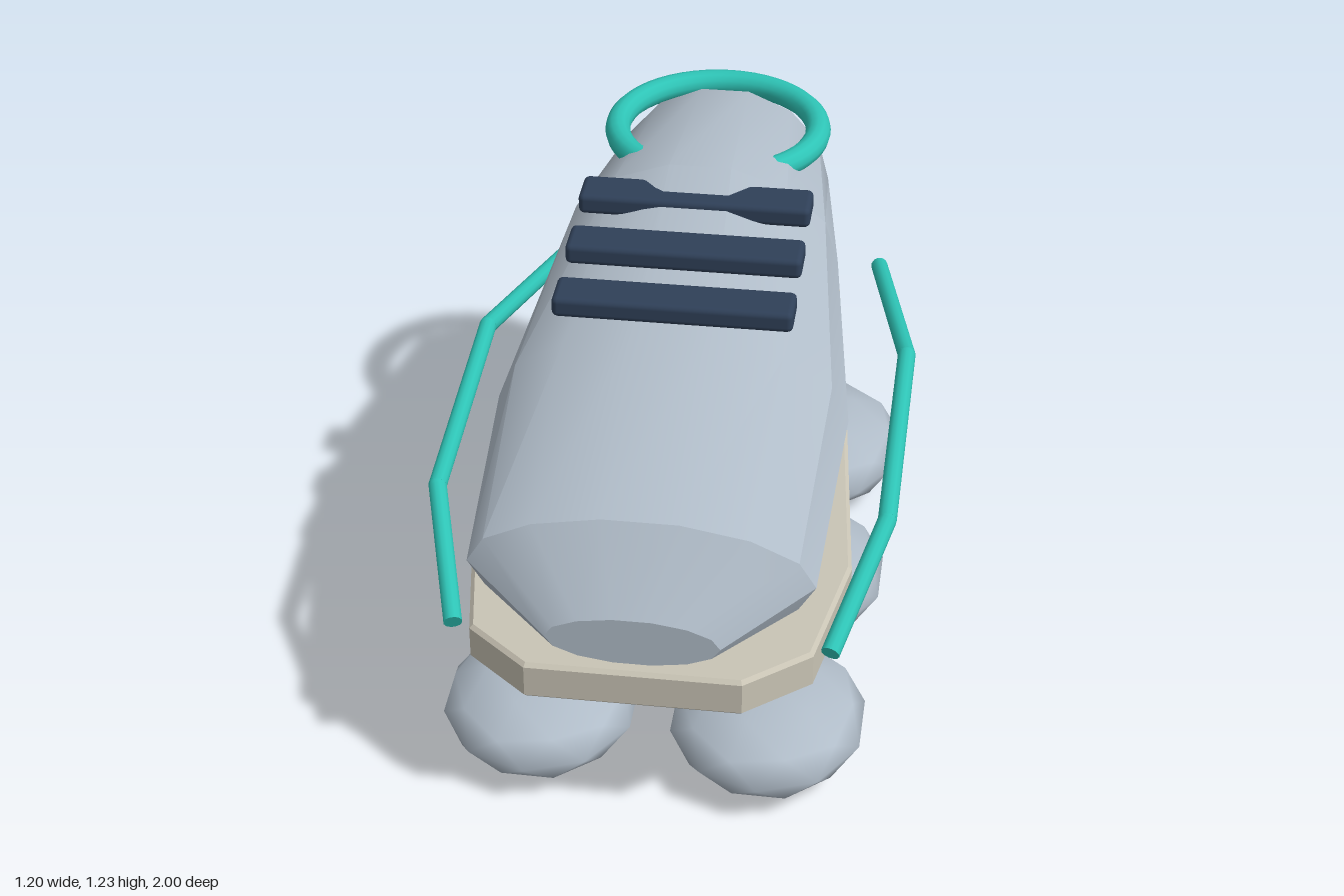
import * as THREE from 'three';
import { toCreasedNormals } from 'three/addons/utils/BufferGeometryUtils.js';
import { RoundedBoxGeometry } from 'three/addons/geometries/RoundedBoxGeometry.js';

function material(name, color) {
  const m = new THREE.MeshStandardMaterial({ color });
  m.name = name;
  return m;
}

// Closed hull through elliptical rings [z, bottom, top, halfWidth], front to back
function loft(rings, sides) {
  const pos = [], index = [];
  const flat = Math.cos(Math.PI / sides);
  for (const [z, y0, y1, rx] of rings) {
    for (let j = 0; j < sides; j++) {
      const a = (j / sides) * Math.PI * 2;
      pos.push(rx * Math.cos(a), (y0 + y1) / 2 + ((y1 - y0) / 2 / flat) * Math.sin(a), z);
    }
  }
  const last = rings.length - 1;
  for (const r of [rings[0], rings[last]]) pos.push(0, (r[1] + r[2]) / 2, r[0]);
  const c0 = rings.length * sides, c1 = c0 + 1;
  for (let j = 0; j < sides; j++) {
    const k = (j + 1) % sides;
    for (let i = 0; i < last; i++) {
      const a = i * sides + j, b = i * sides + k;
      index.push(a, a + sides, b, b, a + sides, b + sides);
    }
    index.push(c0, j, k, c1, last * sides + k, last * sides + j);
  }
  const g = new THREE.BufferGeometry();
  g.setAttribute('position', new THREE.Float32BufferAttribute(pos, 3));
  g.setIndex(index);
  return toCreasedNormals(g, THREE.MathUtils.degToRad(30));
}

export function createModel() {
  const model = new THREE.Group();
  const grey = material('blue grey', 0xb0bcc8);
  const cream = material('warm cream', 0xc9c4b5);
  const teal = material('teal', 0x2ec4b6);
  const navy = material('navy', 0x2f4058);

  function add(name, geometry, mat, x = 0, y = 0, z = 0, parent = model) {
    const mesh = new THREE.Mesh(geometry, mat);
    mesh.name = name;
    mesh.position.set(x, y, z);
    parent.add(mesh);
    return mesh;
  }

  // Shoe upper
  add('upper', loft([
    [1, 0.56, 0.69, 0.215],
    [0.85, 0.565, 0.875, 0.43],
    [0.27, 0.6, 1.04, 0.455],
    [-0.28, 0.7, 1.23, 0.375],
    [-0.84, 0.64, 1.17, 0.3],
    [-1, 0.6, 1.0, 0.235],
  ], 14), grey);

  // Sole plate with a fine bevel
  const bevel = 0.01;
  const half = [[0.265, 0.99], [0.42, 0.86], [0.483, 0.5], [0.4, -0.3], [0.33, -0.89], [0.265, -0.99]];
  const outline = [...half, ...half.map(([x, z]) => [-x, z]).reverse()];
  const soleShape = new THREE.Shape(outline.map(([x, z]) => new THREE.Vector2(x, -z)));
  const soleGeo = new THREE.ExtrudeGeometry(soleShape, {
    depth: 0.105 - 2 * bevel, bevelEnabled: true, bevelSize: bevel, bevelThickness: bevel, bevelSegments: 1,
  });
  soleGeo.rotateX(-Math.PI / 2);
  add('sole', soleGeo, cream, 0, 0.425 + bevel, 0);

  // Squashed wheels, pole pointing up
  const wheelGeo = new THREE.IcosahedronGeometry(1, 1);
  wheelGeo.rotateZ(Math.atan(2 / (1 + Math.sqrt(5))));
  wheelGeo.scale(0.258, 0.118, 0.3);
  const postGeo = new THREE.CylinderGeometry(0.033, 0.033, 0.27, 16);
  for (const side of [1, -1]) {
    for (const z of [0.625, -0.01, -0.645]) add('wheel', wheelGeo, grey, side * 0.298, 0.118, z);
    for (const z of [0.54, -0.62]) add('post', postGeo, teal, side * 0.295, 0.31, z);
  }

  // Bent side rails
  const r = 0.024;
  const railPoints = [[0.47, 0.535, 0.865], [0.577, 0.685, 0.5], [0.577, 0.74, -0.19], [0.455, 0.592, -0.9]];
  const up = new THREE.Vector3(0, 1, 0);
  for (const side of [1, -1]) {
    const rail = new THREE.Group();
    rail.name = side > 0 ? 'leftRail' : 'rightRail';
    model.add(rail);
    const pts = railPoints.map(([x, y, z]) => new THREE.Vector3(side * x, y, z));
    for (let i = 0; i < 3; i++) {
      const dir = pts[i + 1].clone().sub(pts[i]);
      const mid = pts[i].clone().addScaledVector(dir, 0.5);
      const rod = add('railRod', new THREE.CylinderGeometry(r, r, dir.length(), 12), teal, mid.x, mid.y, mid.z, rail);
      rod.quaternion.setFromUnitVectors(up, dir.normalize());
      if (i > 0) add('railJoint', new THREE.SphereGeometry(r, 12, 8), teal, pts[i].x, pts[i].y, pts[i].z, rail);
    }
  }

  // Open heel loop with closed ends
  const loop = new THREE.Group();
  loop.name = 'heelLoop';
  loop.position.set(0, 1.14, -0.67);
  model.add(loop);
  const R = 0.28, tube = 0.035, open = THREE.MathUtils.degToRad(50);
  const loopGeo = new THREE.TorusGeometry(R, tube, 12, 40, Math.PI + 2 * open);
  loopGeo.rotateZ(-open);
  loopGeo.rotateX(-Math.PI / 2);
  add('loopTube', loopGeo, teal, 0, 0, 0, loop);
  for (const side of [1, -1]) {
    const cap = add('loopEnd', new THREE.CircleGeometry(tube, 12), teal,
      side * R * Math.cos(open), 0, R * Math.sin(open), loop);
    cap.rotation.y = side > 0 ? -open : open;
    cap.lookAt(cap.position.x - side * Math.sin(open), 0, cap.position.z + Math.cos(open));
  }

  // Instep straps
  const strapGeo = new RoundedBoxGeometry(0.616, 0.057, 0.12, 2, 0.016);
  for (const [y, z] of [[1.113, 0.233], [1.142, 0.018], [1.17, -0.197]]) add('strap', strapGeo, navy, 0, y, z);

  return model;
}
